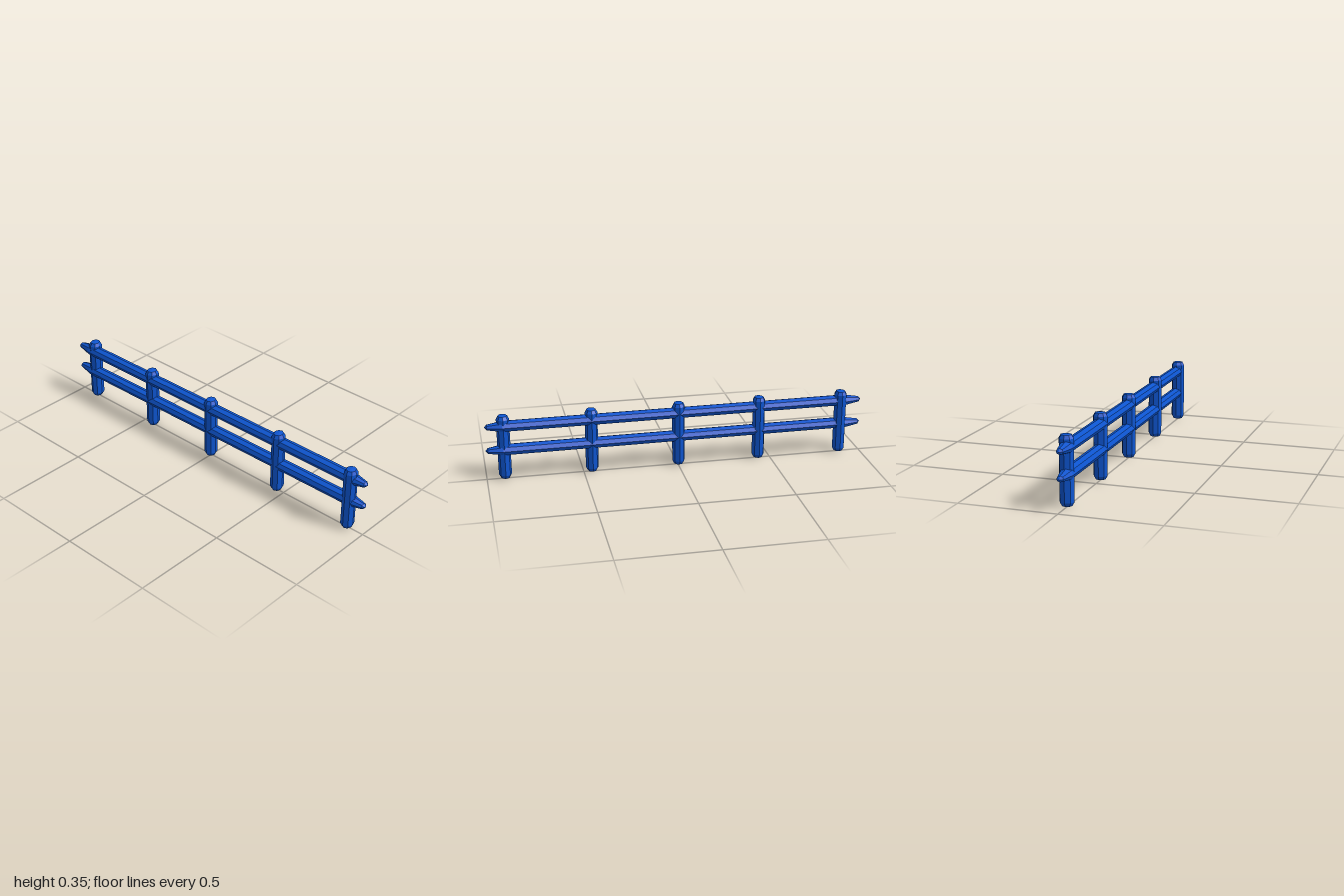
import * as THREE from 'three';

const SIDES = 8;

// Eight-sided log from [radius, height] rings, listed from bottom to top.
function logGeometry(rings) {
  return new THREE.LatheGeometry(rings.map(([r, y]) => new THREE.Vector2(r, y)), SIDES);
}

export function createModel() {
  const fence = new THREE.Group();
  fence.name = 'fence';
  const material = new THREE.MeshStandardMaterial({ color: 0x0d55d0, flatShading: true });

  // Upright posts with bevelled ends, slightly narrower along the fence
  const postGeometry = logGeometry([
    [0, 0], [0.026, 0.006], [0.037, 0.025],
    [0.037, 0.327], [0.027, 0.344], [0, 0.348],
  ]).scale(1, 1, 0.9);
  [0.905, 0.455, -0.003, -0.435, -0.885].forEach((z, i) => {
    const post = new THREE.Mesh(postGeometry, material);
    post.name = `post${i + 1}`;
    post.position.z = z;
    fence.add(post);
  });

  // Horizontal rails with tapered tips, laid along z and turned a little
  const railGeometry = logGeometry([
    [0, -1], [0.018, -0.987], [0.035, -0.91],
    [0.035, 0.91], [0.018, 0.987], [0, 1],
  ]).rotateX(Math.PI / 2).scale(1, 0.83, 1).rotateY(0.008);
  [['lowerRail', 0.161], ['upperRail', 0.289]].forEach(([name, y]) => {
    const rail = new THREE.Mesh(railGeometry, material);
    rail.name = name;
    rail.position.y = y;
    fence.add(rail);
  });

  return fence;
}
